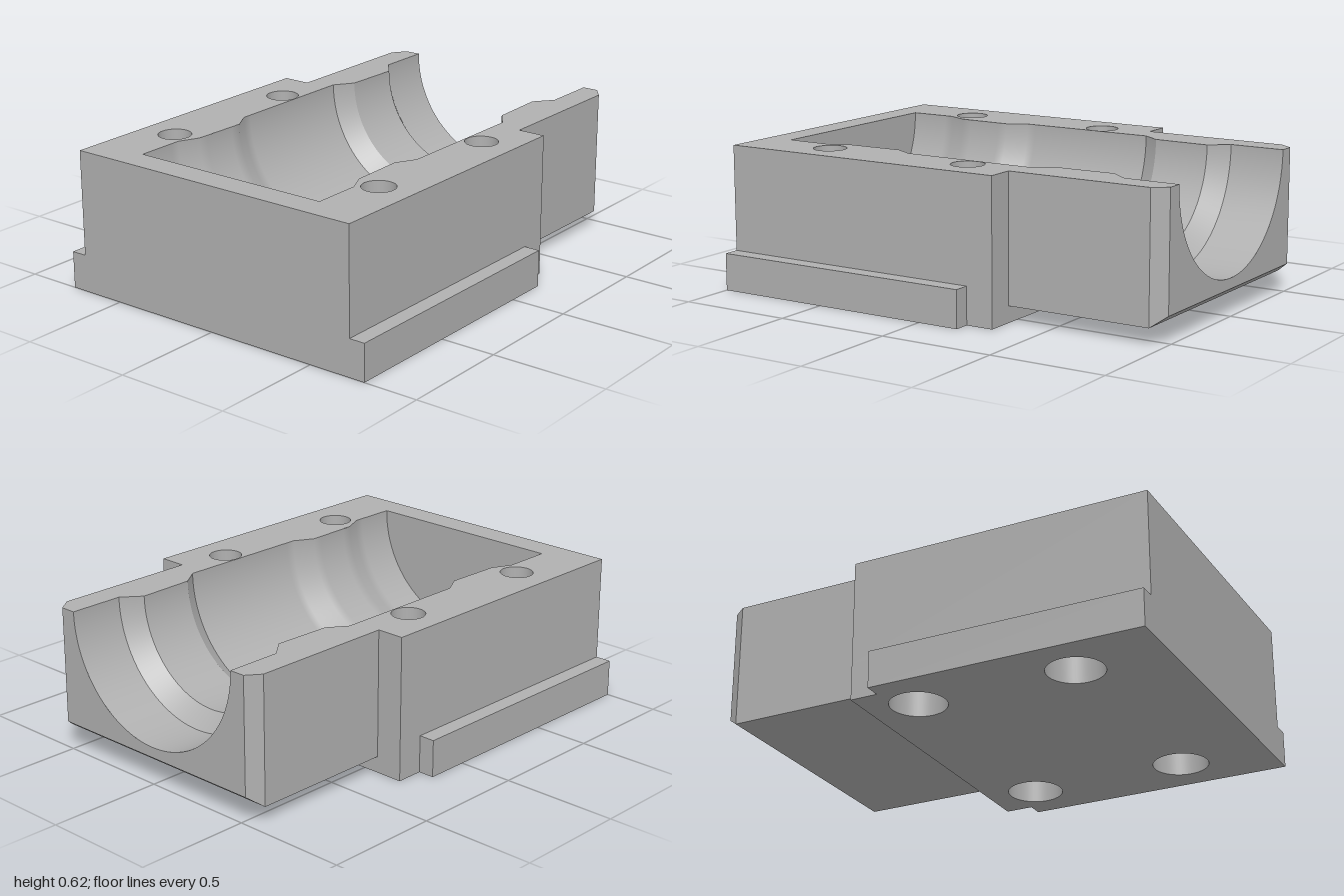
import * as THREE from 'three';
import { mergeGeometries } from 'three/addons/utils/BufferGeometryUtils.js';

const TOP = 0.615, STEP = 0.16, NECK = 0.07, R = 0.455, SEG = 64;

// Flat quad, corners counter-clockwise seen from outside
function quad(a, b, c, d) {
  const g = new THREE.BufferGeometry();
  g.setAttribute('position', new THREE.Float32BufferAttribute([a, b, c, a, c, d].flat(), 3));
  g.computeVertexNormals();
  return g;
}

// Mirrors the right half of an outline to get the whole run, left to right
const mirrored = half => [...half.map(([x, z]) => [-x, z]).reverse(), ...half];

// Vertical walls along an outline of [x, z] points
function walls(points, y0, y1) {
  return mergeGeometries(points.slice(1).map(([x, z], i) => {
    const [px, pz] = points[i];
    return quad([px, y0, pz], [x, y0, z], [x, y1, z], [px, y1, pz]);
  }));
}

// Turned surface that faces its own axis when y falls along the points
function turned(points, start = 0, length = Math.PI * 2, seg = SEG) {
  return new THREE.LatheGeometry(points.map(p => new THREE.Vector2(...p)), seg, start, length);
}

export function createModel() {
  const model = new THREE.Group();
  const grey = new THREE.MeshStandardMaterial({ color: 0xb0b0b0 });
  grey.name = 'machined grey';
  const add = (name, geometry) => {
    const mesh = new THREE.Mesh(geometry, grey);
    mesh.name = name;
    model.add(mesh);
    return mesh;
  };

  const holes = [-0.53, 0.53].flatMap(x => [-0.085, 0.61].map(z => [x, z]));
  // Bore radius along z: [radius, z]
  const bore = [
    [R, -1], [R, -0.76], [0.39, -0.68], [0.398, -0.43], [R, -0.35],
    [R, 0.26], [0.408, 0.345], [0.415, 0.585], [R, 0.67], [R, 0.88],
  ];

  // Flat plate from an [x, z] outline with round holes
  function plate(points, radius, up) {
    const s = up ? -1 : 1;
    const shape = new THREE.Shape(points.map(([x, z]) => new THREE.Vector2(x, z * s)));
    for (const [x, z] of holes) {
      shape.holes.push(new THREE.Path().absarc(x, z * s, radius, 0, Math.PI * 2, true));
    }
    return new THREE.ShapeGeometry(shape, 24).rotateX(s * Math.PI / 2);
  }

  // Parting face around the bore, and the base underneath
  const topHalf = [[0.69, 1], [0.69, -0.305], [0.57, -0.305], [0.57, -0.94], [0.525, -1]];
  const boreHalf = [...bore].reverse();
  const topOutline = [
    ...mirrored(topHalf),
    ...mirrored(boreHalf).reverse(),
  ];
  add('partingFace', plate(topOutline, 0.07, true)).position.y = TOP;
  const baseHalf = [[0.76, 1], [0.76, -0.185], [0.69, -0.185], [0.69, -0.305]];
  add('baseFace', plate(mirrored(baseHalf), 0.12, false));

  // Outer walls of the body and its side rails
  add('bodyWalls', walls(mirrored(topHalf.slice(0, 3)), STEP, TOP));
  add('railWalls', walls(mirrored([...baseHalf, [0.57, -0.305]]), 0, STEP));
  add('bodyBackStep', walls([[0.57, -0.305], [-0.57, -0.305]], 0, NECK));
  for (const [name, a, b] of [['leftRailTop', 0.69, 0.76], ['rightRailTop', -0.76, -0.69]]) {
    add(name, quad([a, STEP, 1], [b, STEP, 1], [b, STEP, -0.185], [a, STEP, -0.185]));
  }

  // Neck with chamfered corners and lower edge
  add('neck', mergeGeometries([
    walls([[0.57, -0.305], [0.57, -0.94]], NECK, TOP),
    walls([[-0.57, -0.94], [-0.57, -0.305]], NECK, TOP),
    quad([-0.57, NECK, -0.94], [0.57, NECK, -0.94], [0.57, NECK, -0.305], [-0.57, NECK, -0.305]),
  ]));
  const low = 0.115;
  add('neckChamfers', mergeGeometries([
    quad([0.57, NECK, -0.94], [0.525, low, -1], [0.525, TOP, -1], [0.57, TOP, -0.94]),
    quad([-0.525, low, -1], [-0.57, NECK, -0.94], [-0.57, TOP, -0.94], [-0.525, TOP, -1]),
    quad([-0.525, low, -1], [0.525, low, -1], [0.57, NECK, -0.94], [-0.57, NECK, -0.94]),
  ]));

  // Neck end face with the open half circle
  const end = new THREE.Shape();
  end.moveTo(-0.525, TOP);
  end.lineTo(-0.525, low);
  end.lineTo(0.525, low);
  end.lineTo(0.525, TOP);
  end.lineTo(R, TOP);
  end.absarc(0, TOP, R, 0, -Math.PI, true);
  add('neckEndFace', new THREE.ShapeGeometry(end, SEG).rotateY(Math.PI)).position.z = -1;

  // Half-round bore: crisp shoulders at the back, softened ones at the front
  const halfBore = points =>
    turned([...points].reverse(), -Math.PI / 2, Math.PI).rotateX(Math.PI / 2);
  const sections = [];
  for (let i = 0; i < 5; i++) {
    const last = i === 4 ? [R, 0.22] : bore[i + 1];
    sections.push(halfBore([bore[i], last]));
  }
  sections.push(halfBore([
    [R, 0.22], [R, 0.26], [0.408, 0.345], [0.41, 0.39],
    [0.413, 0.54], [0.415, 0.585], [R, 0.67], [R, 0.71],
  ]));
  sections.push(halfBore([[R, 0.71], [R, 0.88]]));
  add('bore', mergeGeometries(sections)).position.y = TOP;
  add('boreEndWall', new THREE.CircleGeometry(R, SEG, Math.PI, Math.PI).rotateY(Math.PI))
    .position.set(0, TOP, 0.88);

  // Counterbored bolt holes
  const steps = [[0.07, TOP], [0.07, 0.3], [0.12, 0.3], [0.12, 0]];
  const boltHole = mergeGeometries(
    steps.slice(1).map((p, i) => turned([steps[i], p], 0, Math.PI * 2, 48)));
  for (const [x, z] of holes) add('boltHole', boltHole).position.set(x, 0, z);

  return model;
}
